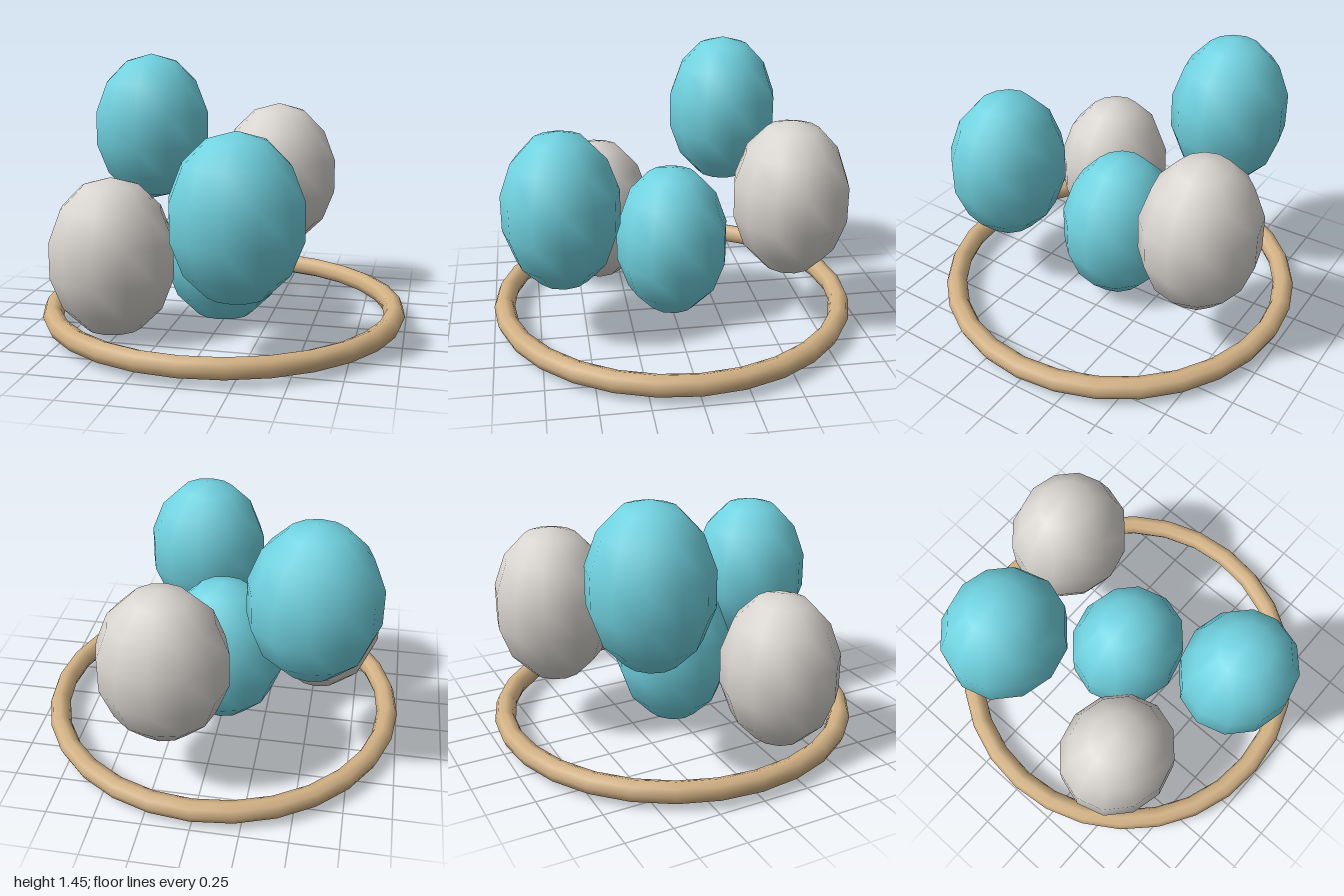
import * as THREE from 'three';

export function createModel() {
  const model = new THREE.Group();
  const blue = new THREE.MeshStandardMaterial({ color: 0x70d2e0 });
  const pale = new THREE.MeshStandardMaterial({ color: 0xd8d4cf });
  const wood = new THREE.MeshStandardMaterial({ color: 0xd2b184 });

  // Flat hoop lying near the ground
  const hoop = new THREE.Mesh(new THREE.TorusGeometry(0.943, 0.057, 8, 28), wood);
  hoop.name = 'hoop';
  hoop.rotation.x = Math.PI / 2;
  hoop.position.y = 0.083;
  model.add(hoop);

  // Egg-shaped balls: stretched low-poly spheres with smooth normals
  const egg = new THREE.SphereGeometry(1, 12, 7).scale(0.346, 0.428, 0.317);
  const eggs = [
    ['centreEgg', blue, 0, 0.428, 0],
    ['frontRightEgg', pale, -0.52, 0.428, 0.375],
    ['backRightEgg', blue, -0.52, 1.022, -0.38],
    ['frontLeftEgg', blue, 0.2, 0.726, 0.613],
    ['backLeftEgg', pale, 0.2, 0.726, -0.613],
  ];
  for (const [name, material, x, y, z] of eggs) {
    const mesh = new THREE.Mesh(egg, material);
    mesh.name = name;
    mesh.position.set(x, y, z);
    model.add(mesh);
  }
  return model;
}
